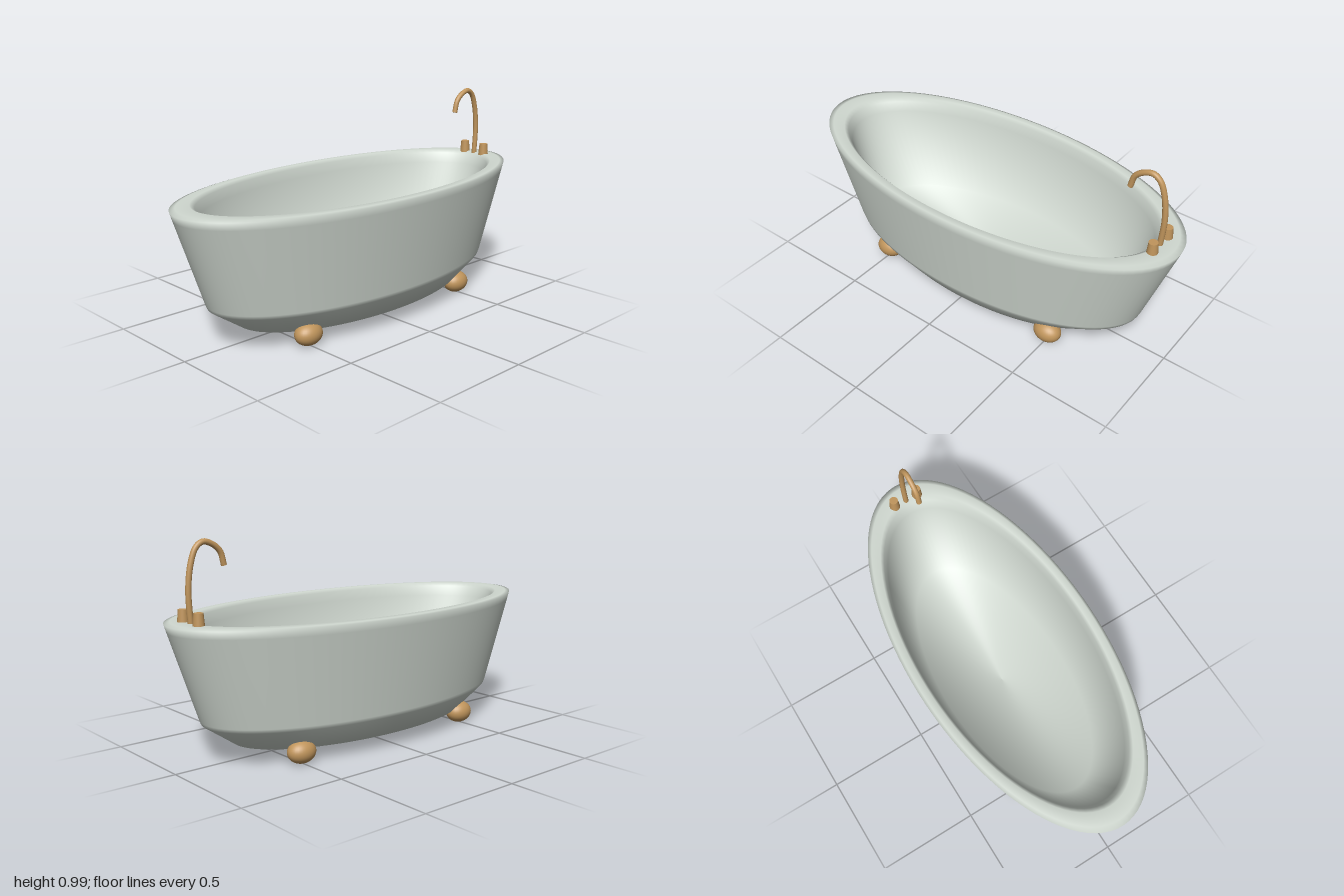
import * as THREE from 'three';

export function createModel() {
  const root = new THREE.Group();
  root.name = 'bathtub';
  const enamel = new THREE.MeshStandardMaterial({ color: 0xd0d8d0 });
  enamel.name = 'pale enamel';
  const brass = new THREE.MeshStandardMaterial({ color: 0xc0955c });
  brass.name = 'brass';

  const add = (name, geometry, material, x = 0, y = 0, z = 0) => {
    const mesh = new THREE.Mesh(geometry, material);
    mesh.name = name;
    mesh.position.set(x, y, z);
    root.add(mesh);
    return mesh;
  };

  // Oval tub: closed profile from the underside, over the rim, down to the inner floor
  const profile = [
    [0, 0.066], [0.683, 0.066], [0.838, 0.172], [0.846, 0.19], [0.988, 0.6],
    [1, 0.636], [0.97, 0.641], [0.9, 0.643], [0.875, 0.628], [0.855, 0.58],
    [0.69, 0.18], [0, 0.12],
  ].map(([r, y]) => new THREE.Vector2(r, y));
  const tub = new THREE.LatheGeometry(profile, 96);
  tub.scale(0.454, 1, 1);
  add('tub', tub, enamel);

  // Four rounded feet
  for (const [side, x] of [['Left', 0.228], ['Right', -0.228]]) {
    for (const [end, z] of [['front', 0.5], ['back', -0.5]]) {
      const foot = new THREE.SphereGeometry(1, 32, 20);
      foot.scale(0.055, 0.053, 0.07);
      add(`${end}${side}Foot`, foot, brass, x, 0.056, z);
    }
  }

  // Gooseneck spout with a closed tip
  const path = new THREE.CatmullRomCurve3([
    [0.63, -0.9], [0.78, -0.907], [0.89, -0.893], [0.96, -0.865],
    [0.982, -0.83], [0.967, -0.782], [0.935, -0.747], [0.876, -0.73],
  ].map(([y, z]) => new THREE.Vector3(0, y, z)));
  add('spout', new THREE.TubeGeometry(path, 64, 0.013, 16), brass);
  const tip = add('spoutTip', new THREE.CircleGeometry(0.013, 16), brass);
  tip.position.copy(path.getPoint(1));
  tip.lookAt(tip.position.clone().add(path.getTangent(1)));

  // Tapered tap handles on the rim
  for (const [side, x] of [['left', 0.063], ['right', -0.063]]) {
    add(`${side}TapHandle`, new THREE.CylinderGeometry(0.021, 0.026, 0.06, 24), brass, x, 0.666, -0.9);
  }

  return root;
}
